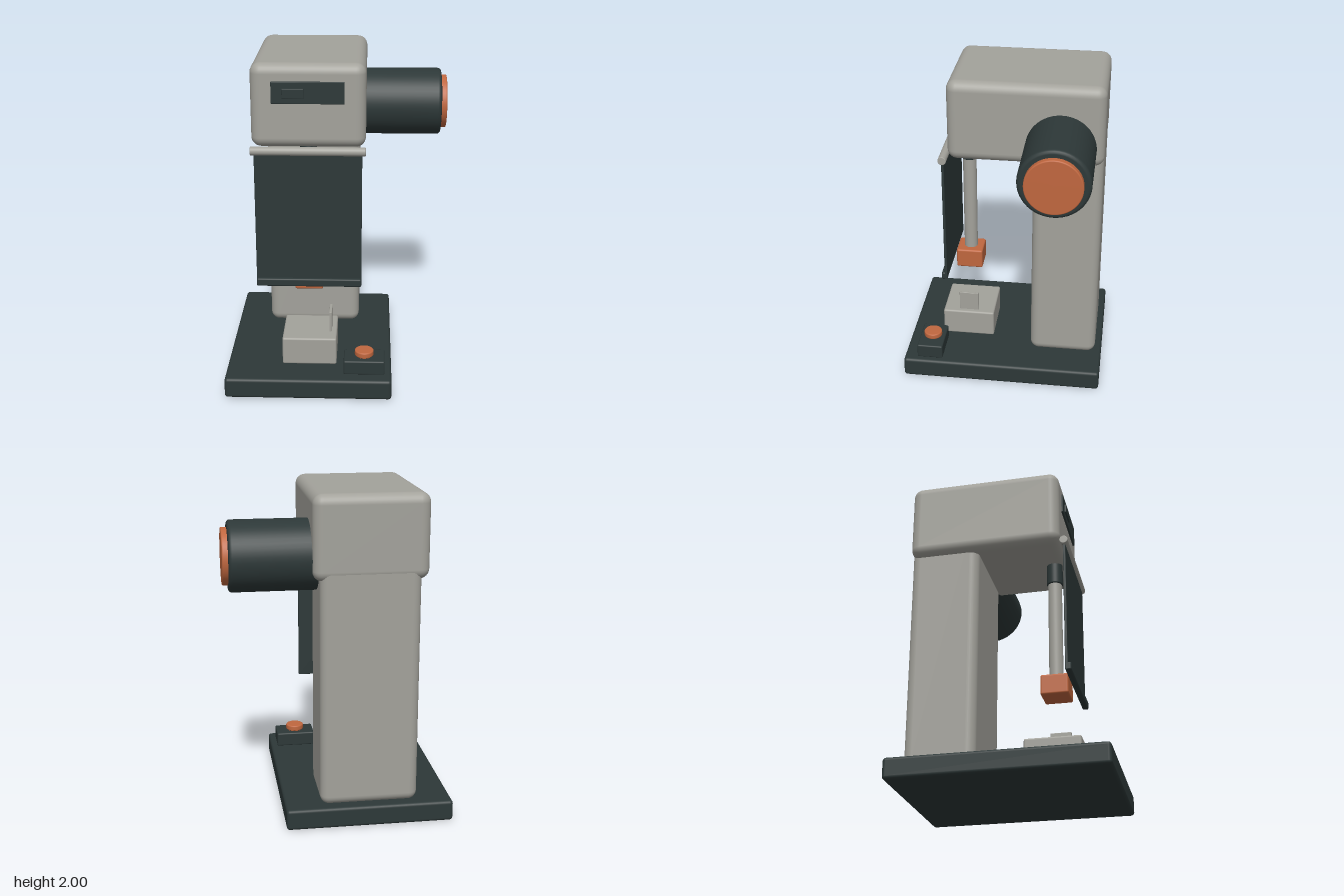
import * as THREE from 'three';
import { RoundedBoxGeometry } from 'three/addons/geometries/RoundedBoxGeometry.js';

export function createModel() {
  const model = new THREE.Group();
  model.name = 'pressMachine';

  const material = (name, color) => {
    const m = new THREE.MeshStandardMaterial({ color });
    m.name = name;
    return m;
  };
  const grey = material('warmGrey', 0xa3a29b);
  const dark = material('darkSlate', 0x2d3838);
  const copper = material('copperOrange', 0xc0673f);

  const add = (name, geometry, mat) => {
    const mesh = new THREE.Mesh(geometry, mat);
    mesh.name = name;
    model.add(mesh);
    return mesh;
  };

  // Rounded box given by its extents [min, max] on each axis
  const box = (name, mat, [x0, x1], [y0, y1], [z0, z1], radius) => {
    const g = new RoundedBoxGeometry(x1 - x0, y1 - y0, z1 - z0, 4, radius);
    g.translate((x0 + x1) / 2, (y0 + y1) / 2, (z0 + z1) / 2);
    return add(name, g, mat);
  };

  // Cylinder with softened rims, standing on the origin along y
  const roundedCylinder = (radius, length, bevel) => {
    const points = [new THREE.Vector2(0, 0), new THREE.Vector2(radius - bevel, 0)];
    const arc = (cy, from) => {
      for (let i = 0; i <= 4; i++) {
        const a = from + (i / 4) * Math.PI / 2;
        points.push(new THREE.Vector2(radius - bevel + Math.cos(a) * bevel, cy + Math.sin(a) * bevel));
      }
    };
    arc(bevel, -Math.PI / 2);
    arc(length - bevel, 0);
    points.push(new THREE.Vector2(0, length));
    // Drop coincident points so the caps keep clean normals
    const clean = points.filter((p, i) => i === 0 || p.distanceTo(points[i - 1]) > 1e-5);
    return new THREE.LatheGeometry(clean, 48);
  };
  const upright = (name, mat, x, z, radius, y0, y1, bevel) =>
    add(name, roundedCylinder(radius, y1 - y0, bevel).translate(x, y0, z), mat);
  const sideways = (name, mat, y, z, radius, x0, x1, bevel) =>
    add(name, roundedCylinder(radius, x1 - x0, bevel).rotateZ(-Math.PI / 2).translate(x0, y, z), mat);

  // Frame
  box('basePlate', dark, [-0.675, 0.34], [0, 0.128], [-0.635, 0.635], 0.02);
  box('column', grey, [-0.46, 0.13], [0.128, 1.7], [-0.595, -0.17], 0.055);
  box('head', grey, [-0.505, 0.17], [1.5, 2], [-0.597, 0.342], 0.06);

  // Motor on the left side of the head
  sideways('motorHousing', dark, 1.62, -0.34, 0.21, 0.1, 0.64, 0.022);
  sideways('motorEndCap', copper, 1.62, -0.34, 0.168, 0.62, 0.675, 0.008);

  // Display on the front of the head
  box('displayPanel', dark, [-0.38, 0.045], [1.77, 1.9], [0.335, 0.353], 0.004);
  box('displayKey', dark, [-0.317, -0.19], [1.805, 1.862], [0.345, 0.363], 0.004);

  // Ram with collar and tool
  upright('ramCollar', dark, -0.17, 0.257, 0.05, 1.365, 1.51, 0.008);
  upright('ramRod', grey, -0.17, 0.257, 0.043, 0.7, 1.4, 0.004);
  box('toolBlock', copper, [-0.255, -0.085], [0.6, 0.728], [0.172, 0.342], 0.012);

  // Roll-down guard
  sideways('guardRoller', grey, 1.493, 0.372, 0.026, -0.505, 0.17, 0.004);
  box('guardScreen', dark, [-0.485, 0.15], [0.645, 1.485], [0.364, 0.38], 0.003);
  box('guardBottomBar', dark, [-0.485, 0.15], [0.642, 0.692], [0.368, 0.4], 0.01);

  // Work fixture
  box('fixtureBlock', grey, [-0.335, 0], [0.125, 0.302], [0.088, 0.425], 0.012);
  box('fixtureFin', grey, [-0.048, -0.032], [0.29, 0.43], [0.193, 0.32], 0.003);

  // Start control
  box('controlBox', dark, [0.047, 0.298], [0.125, 0.216], [0.385, 0.55], 0.01);
  upright('buttonStem', copper, 0.172, 0.465, 0.048, 0.205, 0.23, 0.002);
  upright('buttonCap', copper, 0.172, 0.465, 0.058, 0.22, 0.256, 0.008);

  return model;
}
